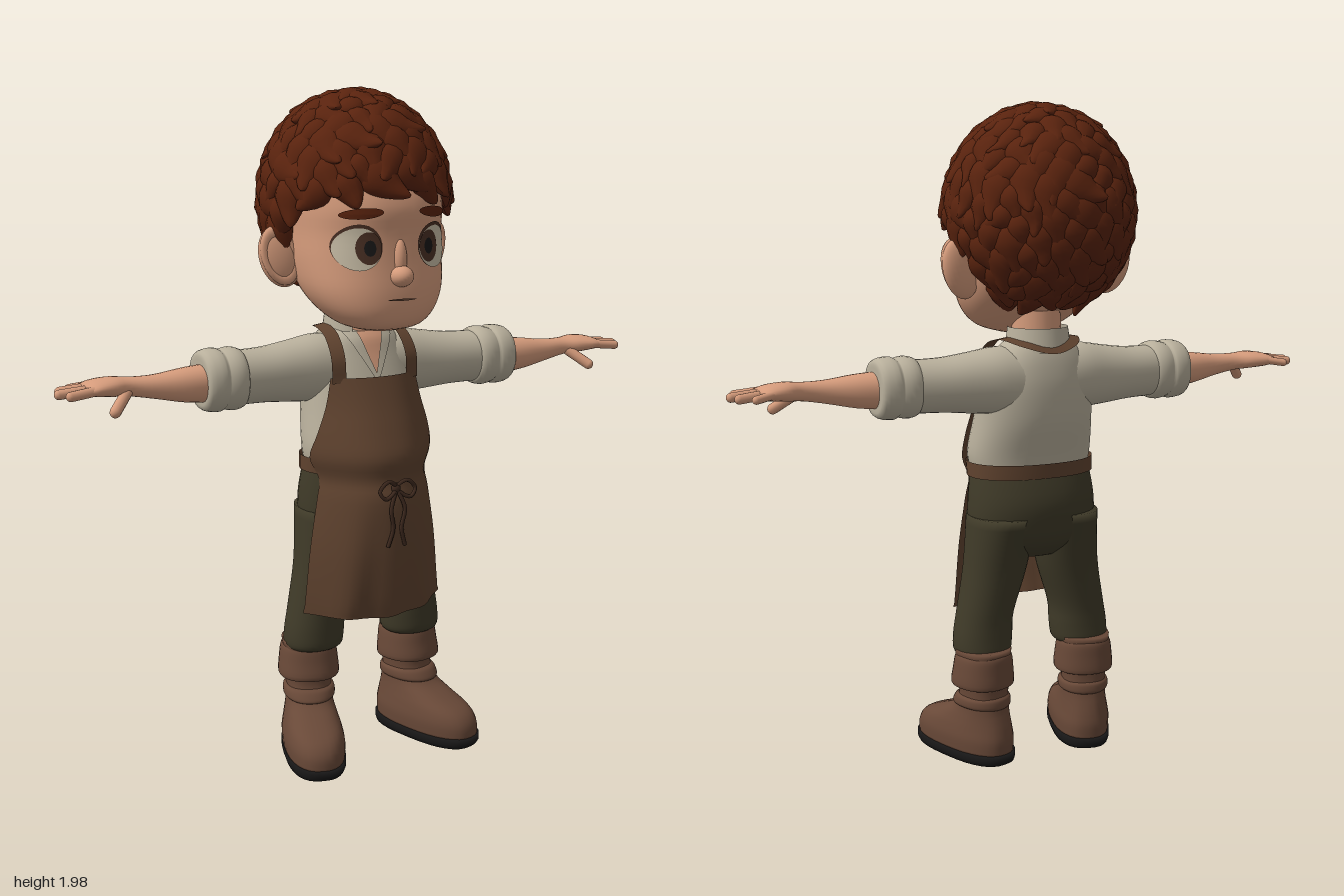
import * as THREE from 'three';
import { mergeGeometries } from 'three/addons/utils/BufferGeometryUtils.js';

const material = (name, color, side = THREE.FrontSide) => {
  const m = new THREE.MeshStandardMaterial({ color, side });
  m.name = name;
  return m;
};
const V = (x, y, z) => new THREE.Vector3(x, y, z);

// Smoothly subdivide cross-sections [y, halfWidth, zFront, zBack, xCentre]
function smooth(rings, sub = 4) {
  const rows = [], at = i => rings[Math.max(0, Math.min(rings.length - 1, i))];
  for (let i = 0; i < rings.length - 1; i++)
    for (let s = 0; s < sub; s++) {
      const t = s / sub;
      rows.push([0, 1, 2, 3, 4].map(k => {
        const [a, b, c, d] = [at(i - 1), at(i), at(i + 1), at(i + 2)].map(r => r[k] || 0);
        return b + 0.5 * t * (c - a + t * (2 * a - 5 * b + 4 * c - d + t * (3 * (b - c) + d - a)));
      }));
    }
  rows.push([0, 1, 2, 3, 4].map(k => at(rings.length - 1)[k] || 0));
  return rows;
}

// Skin over superelliptic sections stacked upward in y
function loft(rings, { n = 32, p = 2.2, caps = true, sub = 4 } = {}) {
  const rows = smooth(rings, sub), pos = [], idx = [];
  const pw = v => Math.sign(v) * Math.pow(Math.abs(v), 2 / p);
  for (const [y, rx, f, b, xc] of rows)
    for (let i = 0; i < n; i++) {
      const a = (i / n) * Math.PI * 2;
      pos.push(xc + rx * pw(Math.cos(a)), y, (f + b) / 2 + ((f - b) / 2) * pw(Math.sin(a)));
    }
  for (let j = 0; j < rows.length - 1; j++)
    for (let i = 0; i < n; i++) {
      const a = j * n + i, b = j * n + (i + 1) % n;
      idx.push(a, a + n, b, b, a + n, b + n);
    }
  if (caps) [0, rows.length - 1].forEach((j, top) => {
    const [y, , f, b, xc] = rows[j], c = pos.length / 3;
    pos.push(xc, y, (f + b) / 2);
    for (let i = 0; i < n; i++) {
      const a = j * n + i, d = j * n + (i + 1) % n;
      idx.push(...(top ? [c, d, a] : [c, a, d]));
    }
  });
  return build(pos, idx);
}
function build(pos, idx) {
  const g = new THREE.BufferGeometry();
  g.setAttribute('position', new THREE.Float32BufferAttribute(pos, 3));
  g.setIndex(idx);
  g.computeVertexNormals();
  return g;
}
// Loft laid along x: sections [x, yCentre, zCentre, halfHeight, halfDepth]
const armLoft = (secs, opt) =>
  loft(secs.map(([x, y, z, ry, rz]) => [x, ry, z + rz, z - rz, -y]), opt).rotateZ(-Math.PI / 2);

// Front surface depth of a lofted form
function frontZ(rows, p, x, y) {
  let i = rows.findIndex(r => r[0] >= y);
  if (i < 1) i = i < 0 ? rows.length - 1 : 1;
  const A = rows[i - 1], B = rows[i], t = Math.min(1, Math.max(0, (y - A[0]) / (B[0] - A[0] || 1)));
  const [rx, f, b] = [1, 2, 3].map(k => A[k] + (B[k] - A[k]) * t);
  const q = Math.max(0, 1 - Math.pow(Math.min(1, Math.abs(x) / rx), p));
  return (f + b) / 2 + ((f - b) / 2) * Math.pow(q, 1 / p);
}
// Press a flat geometry onto a lofted front
function press(geo, rows, p, off) {
  const a = geo.attributes.position;
  for (let i = 0; i < a.count; i++) a.setZ(i, frontZ(rows, p, a.getX(i), a.getY(i)) + off);
  geo.computeVertexNormals();
  return geo;
}
const ball = (x, y, z, sx, sy, sz) => new THREE.SphereGeometry(1, 24, 16).scale(sx, sy, sz).translate(x, y, z);
function finger(a, b, r) {
  const d = b.clone().sub(a), q = new THREE.Quaternion().setFromUnitVectors(V(0, 1, 0), d.clone().normalize());
  return new THREE.CapsuleGeometry(r, d.length(), 6, 12).applyQuaternion(q)
    .translate((a.x + b.x) / 2, (a.y + b.y) / 2, (a.z + b.z) / 2);
}
function mirrored(geo) {
  const g = geo.clone().applyMatrix4(new THREE.Matrix4().makeScale(-1, 1, 1)), ix = g.index;
  for (let i = 0; i < ix.count; i += 3) {
    const t = ix.getX(i);
    ix.setX(i, ix.getX(i + 1));
    ix.setX(i + 1, t);
  }
  return g;
}

// Curly locks spread over the scalp, leaving face and ears free
function curls() {
  let seed = 7;
  const rnd = () => (seed = (seed * 16807) % 2147483647) / 2147483647;
  const out = [], N = 250;
  for (let i = 0; i < N; i++) {
    const h = 1 - 2 * (i + 0.5) / N, a = i * 2.39996, r = Math.sqrt(1 - h * h);
    const d = V(r * Math.cos(a), h, r * Math.sin(a));
    const p = V(d.x * 0.25, 1.665 + d.y * 0.28, -0.01 + d.z * 0.27);
    const r1 = rnd(), r2 = rnd(), r3 = rnd();
    if (p.y < (p.z > -0.06 ? 1.58 + Math.max(0, p.z) * 0.58 : 1.425)) continue;
    const n = V(d.x / 0.25, d.y / 0.28, d.z / 0.27).normalize();
    const up = V(0, 1, -0.15).addScaledVector(n, -V(0, 1, -0.15).dot(n)).normalize();
    up.applyAxisAngle(n, (r1 - 0.5) * 1.9);
    const g = new THREE.SphereGeometry(1, 12, 10), q = g.attributes.position;
    for (let k = 0; k < q.count; k++) {
      const y = q.getY(k), t = Math.max(0, -y), w = 1 - 0.35 * t;
      q.setXYZ(k, q.getX(k) * w + (r2 - 0.5) * 1.6 * t * t, y * (1 + 0.25 * t), q.getZ(k) * w + t * t * (0.1 + r3 * 0.7));
    }
    const s = 0.85 + r2 * 0.35;
    g.scale(0.05 * s, 0.058 * s, 0.038).applyMatrix4(new THREE.Matrix4().makeBasis(up.clone().cross(n), up, n));
    g.translate(p.x, p.y, p.z).computeVertexNormals();
    out.push(g);
  }
  return mergeGeometries(out);
}

export function createModel() {
  const skin = material('skin', 0xd69c7c), hair = material('hair', 0x5a230e), linen = material('linen', 0xb9b09c, THREE.DoubleSide);
  const apron = material('apronBrown', 0x60432f, THREE.DoubleSide), wool = material('trouserGreen', 0x3f3a28);
  const leather = material('bootLeather', 0x694938), rubber = material('soleBlack', 0x181717);
  const white = material('eyeWhite', 0xc8bda6), iris = material('irisBrown', 0x4a3024), cord = material('cordBrown', 0x3e291e);
  const model = new THREE.Group();
  const add = (name, geo, mat) => {
    const m = new THREE.Mesh(geo, mat);
    m.name = name;
    model.add(m);
  };
  const pair = (name, geo, mat) => {
    add('left' + name, geo, mat);
    add('right' + name, mirrored(geo), mat);
  };

  // Head
  const headRings = [[1.303, 0.06, 0.21, 0.07], [1.32, 0.115, 0.258, 0.03], [1.36, 0.165, 0.277, -0.03], [1.42, 0.2, 0.28, -0.1],
    [1.5, 0.215, 0.272, -0.17], [1.58, 0.217, 0.268, -0.2], [1.66, 0.22, 0.272, -0.22], [1.76, 0.21, 0.23, -0.22], [1.86, 0.13, 0.14, -0.14]];
  const face = smooth(headRings), FP = 2.4;
  add('head', loft(headRings, { n: 48, p: FP }), skin);
  add('nose', ball(0, 1.465, 0.275, 0.034, 0.03, 0.04), skin);
  add('noseBridge', ball(0, 1.51, 0.26, 0.022, 0.06, 0.026), skin);
  pair('Ear', ball(0, 0, 0, 0.06, 0.09, 0.03).rotateZ(-0.3).rotateY(0.25).translate(0.245, 1.505, 0), skin);
  pair('EarRim', new THREE.TorusGeometry(0.05, 0.013, 8, 24).scale(0.85, 1.4, 1).rotateZ(-0.3).rotateY(0.25).translate(0.25, 1.51, 0.012), skin);
  add('neck', new THREE.CylinderGeometry(0.072, 0.08, 0.2, 24).translate(0, 1.28, 0.005), skin);

  // Facial details lying on the face
  const disc = (x, y, w, h, off, tilt = 0) =>
    press(new THREE.RingGeometry(0, 1, 32, 6).scale(w, h, 1).rotateZ(tilt).translate(x, y, 0), face, FP, off);
  pair('EyeLid', disc(0.119, 1.547, 0.063, 0.064, 0.003), iris);
  pair('EyeWhite', disc(0.12, 1.542, 0.06, 0.059, 0.005), white);
  pair('Iris', disc(0.095, 1.545, 0.035, 0.045, 0.007), iris);
  pair('Pupil', disc(0.093, 1.545, 0.016, 0.022, 0.009), rubber);
  pair('Brow', disc(0.112, 1.64, 0.056, 0.015, 0.006, -0.08), hair);
  add('mouth', disc(0, 1.4, 0.045, 0.003, 0.004), leather);

  // Hair
  add('hairCap', new THREE.SphereGeometry(1, 40, 24, 0, Math.PI * 2, 0, Math.PI * 0.58).rotateX(-0.5)
    .scale(0.25, 0.275, 0.265).translate(0, 1.665, -0.01), hair);
  add('hairCurls', curls(), hair);

  // Shirt
  const torsoRings = [[0.89, 0.185, 0.17, -0.066], [0.95, 0.195, 0.19, -0.078], [1.05, 0.185, 0.165, -0.105], [1.15, 0.175, 0.13, -0.113],
    [1.22, 0.155, 0.105, -0.106], [1.27, 0.12, 0.088, -0.092], [1.3, 0.085, 0.062, -0.075]];
  const torso = smooth(torsoRings);
  add('shirt', loft(torsoRings, { n: 40 }), linen);
  pair('Sleeve', armLoft([[0.03, 1.165, 0, 0.1, 0.1], [0.13, 1.175, 0, 0.1, 0.097], [0.22, 1.172, 0.005, 0.09, 0.09],
    [0.31, 1.17, 0.012, 0.08, 0.085], [0.41, 1.17, 0.02, 0.078, 0.08]]), linen);
  const cuff = [[0.385, 0.07], [0.39, 0.084], [0.415, 0.091], [0.44, 0.087], [0.448, 0.084], [0.46, 0.091], [0.49, 0.089], [0.508, 0.08], [0.51, 0.062]];
  pair('Cuff', armLoft(cuff.map(([x, r]) => [x, 1.17, 0.022, r, r]), { sub: 2 }), linen);
  add('collar', new THREE.CylinderGeometry(0.09, 0.1, 0.07, 32, 1, true, 0.55, Math.PI * 2 - 1.1).translate(0, 1.295, -0.005), linen);
  const vee = (half, inner, off) => { // V-shaped sheet on the chest
    const g = new THREE.PlaneGeometry(2, 1, 10, 10), a = g.attributes.position;
    for (let i = 0; i < a.count; i++) {
      const v = a.getY(i) + 0.5;
      a.setXY(i, inner * v + a.getX(i) * half(v), 1.15 + v * 0.135);
    }
    return press(g, torso, 2.2, off);
  };
  add('openNeck', vee(v => 0.052 * v, 0, 0.006), skin);
  pair('Lapel', vee(v => 0.006 + 0.014 * v, 0.06, 0.012), linen);

  // Forearms and hands
  pair('Forearm', armLoft([[0.48, 1.165, 0.03, 0.055, 0.06], [0.56, 1.166, 0.035, 0.049, 0.053], [0.65, 1.17, 0.038, 0.034, 0.038],
    [0.72, 1.176, 0.034, 0.027, 0.034], [0.77, 1.18, 0.03, 0.027, 0.052], [0.82, 1.18, 0.028, 0.022, 0.062], [0.85, 1.178, 0.028, 0.014, 0.054]], { n: 24 }), skin);
  const fingers = [[-0.022, -0.038, 0.87, 0.012], [0.01, -0.002, 0.907, 0.014], [0.043, 0.038, 0.92, 0.014], [0.07, 0.08, 0.9, 0.014]]
    .map(([z0, z1, x, r]) => finger(V(0.82, 1.18, z0), V(x, 1.172, z1), r));
  fingers.push(finger(V(0.735, 1.165, 0.055), V(0.785, 1.122, 0.1), 0.016));
  pair('Fingers', mergeGeometries(fingers), skin);

  // Trousers
  add('trouserSeat', loft([[0.63, 0.09, 0.1, -0.03], [0.67, 0.17, 0.15, -0.07], [0.73, 0.2, 0.17, -0.09], [0.81, 0.2, 0.18, -0.096], [0.91, 0.187, 0.172, -0.068]]), wool);
  pair('TrouserLeg', loft([[0.33, 0.078, 0.11, -0.035, 0.167], [0.345, 0.088, 0.125, -0.042, 0.167], [0.39, 0.09, 0.128, -0.04, 0.164],
    [0.46, 0.087, 0.13, -0.04, 0.155], [0.6, 0.096, 0.14, -0.055, 0.122], [0.76, 0.1, 0.16, -0.092, 0.104]]), wool);

  // Boots, toes turned out
  const boot = (name, rings, mat, opt) => pair(name, loft(rings, opt).rotateY(0.3).translate(0.167, 0, 0), mat);
  boot('Sole', [[0, 0.086, 0.292, -0.08], [0.012, 0.09, 0.3, -0.084], [0.032, 0.09, 0.3, -0.084]], rubber, { p: 2.6, sub: 1 });
  boot('Boot', [[0.03, 0.088, 0.296, -0.08], [0.07, 0.09, 0.292, -0.082], [0.105, 0.084, 0.262, -0.076], [0.135, 0.076, 0.19, -0.068],
    [0.165, 0.07, 0.125, -0.06], [0.21, 0.068, 0.095, -0.054], [0.28, 0.074, 0.1, -0.058], [0.35, 0.08, 0.105, -0.062]], leather, { p: 2.4 });
  boot('BootFold', [[0.235, 0.078, 0.1, -0.06], [0.243, 0.092, 0.12, -0.07], [0.29, 0.089, 0.112, -0.068], [0.325, 0.084, 0.106, -0.066], [0.338, 0.076, 0.1, -0.06]], leather);
  boot('BootStrap', [[0.17, 0.07, 0.125, -0.06], [0.178, 0.078, 0.125, -0.065], [0.198, 0.077, 0.112, -0.063], [0.206, 0.068, 0.1, -0.056]], leather);

  // Apron sheet: rows of [y, halfWidth, zMiddle, zEdge]
  const sheet = smooth([[0.445, 0.232, 0.216, 0.11], [0.52, 0.224, 0.232, 0.112], [0.66, 0.21, 0.25, 0.115], [0.8, 0.188, 0.254, 0.115],
    [0.865, 0.178, 0.24, 0.11], [0.93, 0.203, 0.247, 0.1], [1.0, 0.185, 0.222, 0.115], [1.08, 0.158, 0.187, 0.118], [1.16, 0.14, 0.155, 0.112]]);
  const pos = [], idx = [], W = 24;
  sheet.forEach(([y, w, zc, ze], j) => {
    for (let i = 0; i <= W; i++) {
      const u = (i / W) * 2 - 1, fold = Math.max(0, 0.85 - y);
      pos.push(w * u, y + (y < 0.46 ? 0.015 * u * u : 0), ze + (zc - ze) * (1 - Math.pow(Math.abs(u), 2.3)) + 0.018 * fold * Math.cos(u * 11));
      if (j && i) {
        const a = (j - 1) * (W + 1) + i - 1, b = a + W + 1;
        idx.push(a, a + 1, b, a + 1, b + 1, b);
      }
    }
  });
  add('apron', build(pos, idx), apron);
  add('apronWaistband', loft([[0.88, 0.2, 0.18, -0.082], [0.925, 0.201, 0.19, -0.084]], { n: 40, caps: false, sub: 1 }), apron);

  // Neck strap: a flat ribbon over both shoulders
  const half = [[0.12, 1.145, 0.13], [0.12, 1.22, 0.122], [0.116, 1.278, 0.07], [0.108, 1.298, -0.01], [0.075, 1.288, -0.078]];
  const path = new THREE.CatmullRomCurve3([...half.map(p => V(...p)), V(0, 1.272, -0.106), ...half.reverse().map(p => V(-p[0], p[1], p[2]))]);
  const sp = [], si = [], S = 60;
  for (let i = 0; i <= S; i++) {
    const p = path.getPointAt(i / S), t = path.getTangentAt(i / S);
    const side = t.cross(V(p.x * 0.2, p.y - 1.15, p.z)).normalize().multiplyScalar(0.021);
    sp.push(p.x + side.x, p.y + side.y, p.z + side.z, p.x - side.x, p.y - side.y, p.z - side.z);
    if (i) si.push(2 * i - 2, 2 * i - 1, 2 * i, 2 * i - 1, 2 * i + 1, 2 * i);
  }
  add('neckStrap', build(sp, si), apron);

  // Tied bow
  const tube = (pts, closed = false) => new THREE.TubeGeometry(new THREE.CatmullRomCurve3(pts.map(p => V(...p)), closed), 24, 0.006, 6, closed);
  add('bowKnot', ball(0, 0.848, 0.252, 0.014, 0.016, 0.012), cord);
  pair('BowLoop', tube([[0, 0.85, 0.255], [0.03, 0.872, 0.262], [0.058, 0.845, 0.262], [0.04, 0.822, 0.266]], true), cord);
  pair('BowTail', tube([[0.002, 0.845, 0.256], [0.022, 0.79, 0.266], [0.014, 0.73, 0.262], [0.028, 0.675, 0.257]]), cord);
  return model;
}
